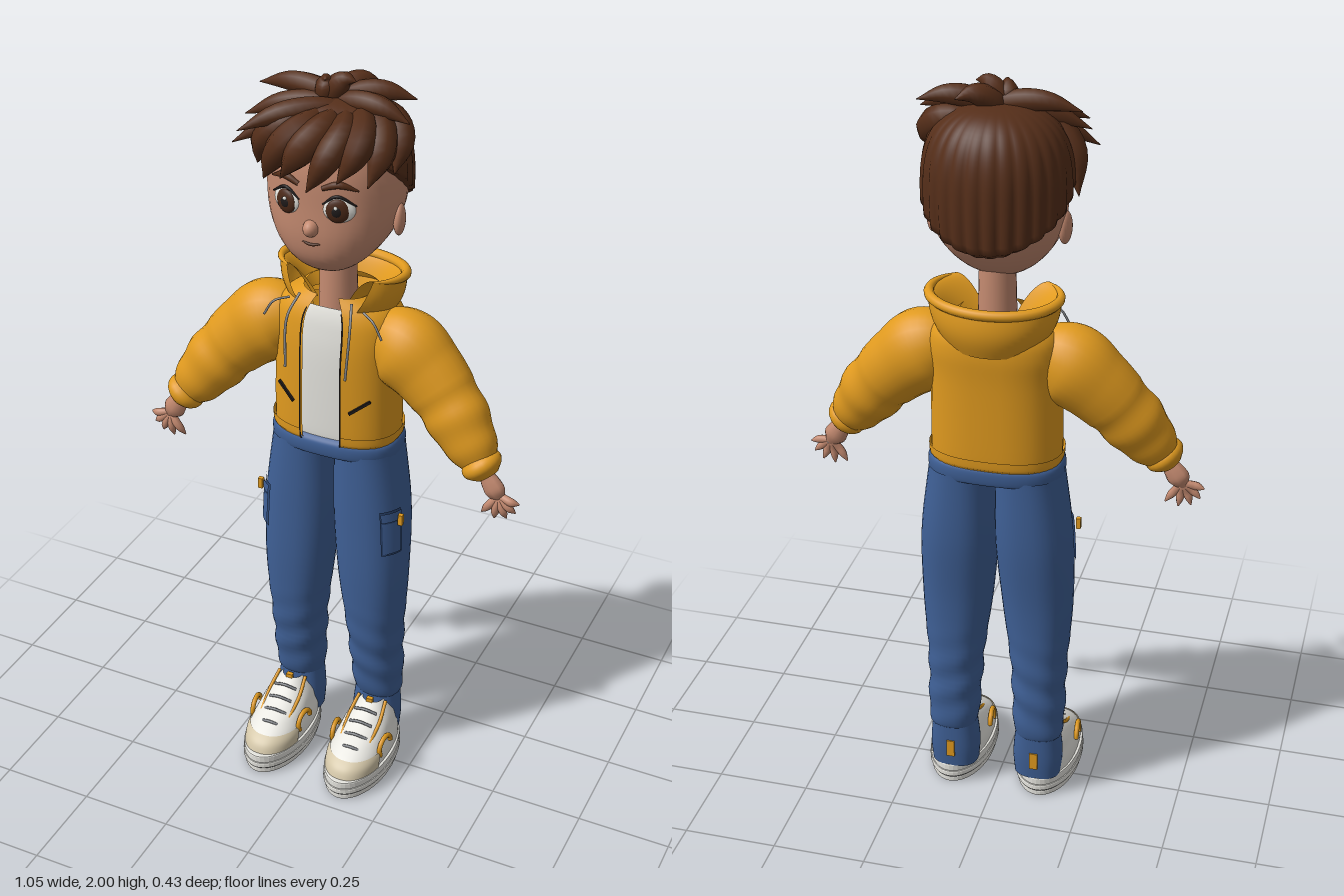
import * as THREE from 'three';
import { mergeVertices } from 'three/addons/utils/BufferGeometryUtils.js';

const paint = (name, color, side = THREE.FrontSide) => {
  const m = new THREE.MeshStandardMaterial({ color, side });
  m.name = name;
  return m;
};
const TAU = Math.PI * 2;
const spline = (pts) => new THREE.CatmullRomCurve3(pts, false, 'catmullrom');
const V = (x, y, z) => new THREE.Vector3(x, y, z);

function smooth(g) {
  const m = mergeVertices(g, 1e-5);
  m.computeVertexNormals();
  return m;
}

// Smooth surface from a rule f(u, v); u runs around, v runs upward
function surface(f, nu, nv) {
  const pos = [], idx = [];
  for (let j = 0; j <= nv; j++) for (let i = 0; i <= nu; i++) pos.push(...f(i / nu, j / nv));
  for (let j = 0; j < nv; j++) for (let i = 0; i < nu; i++) {
    const a = j * (nu + 1) + i, b = a + nu + 1;
    idx.push(a, a + 1, b, a + 1, b + 1, b);
  }
  const g = new THREE.BufferGeometry();
  g.setAttribute('position', new THREE.Float32BufferAttribute(pos, 3));
  g.setIndex(idx);
  return smooth(g);
}

// Horizontal superellipse rings [y, rx, rz, cz] joined by a spline; x(y) gives the sideways offset
function loft(rings, { p = 0.88, a0 = 0, a1 = TAU, t0 = 0, t1 = 1, nu = 36, nv = 32, grow = 0, x = () => 0, bump = () => 0 } = {}) {
  const size = spline(rings.map(([, rx, rz], i) => V(rx, rz, i)));
  const place = spline(rings.map(([y, , , cz], i) => V(i, y, cz)));
  const pw = (n) => Math.sign(n) * Math.abs(n) ** p;
  return surface((u, v) => {
    const t = t0 + (t1 - t0) * v, a = a0 + (a1 - a0) * u;
    const o = place.getPoint(t), r = size.getPoint(t), k = grow + bump(a, o.y);
    return [x(o.y) + (Math.max(r.x, 0) + k) * pw(Math.sin(a)), o.y, o.z + (Math.max(r.y, 0) + k) * pw(Math.cos(a))];
  }, nu, nv);
}

// Tube along points whose radius follows a list; ripple adds folds
function sweep(points, radii, seg = 14, sides = 8, ripple = () => 0) {
  const curve = new THREE.CatmullRomCurve3(points);
  const width = spline(radii.map((r, i) => V(r, i, 0)));
  const g = new THREE.TubeGeometry(curve, seg, 1, sides);
  const pos = g.attributes.position, v = V(0, 0, 0);
  for (let n = 0; n < pos.count; n++) {
    const t = Math.floor(n / (sides + 1)) / seg, o = curve.getPointAt(t);
    v.fromBufferAttribute(pos, n).sub(o).multiplyScalar(Math.max(width.getPoint(t).x + ripple(t), 0.0005)).add(o);
    pos.setXYZ(n, v.x, v.y, v.z);
  }
  g.deleteAttribute('uv');
  g.deleteAttribute('normal');
  return smooth(g);
}

export function createModel() {
  const root = new THREE.Group();
  root.name = 'boy';
  const skin = paint('skin', 0xc48a70), hair = paint('hair brown', 0x552e19);
  const amber = paint('jacket amber', 0xe09a1f, THREE.DoubleSide);
  const denim = paint('denim', 0x3f6096), seam = paint('dark denim', 0x2c4672, THREE.DoubleSide);
  const white = paint('white', 0xe6e5df), cream = paint('cream', 0xd3c6a8, THREE.DoubleSide);
  const dark = paint('near black', 0x1e1a1a, THREE.DoubleSide), grey = paint('grey', 0x85888c), iris = paint('iris brown', 0x4a2817);
  const add = (name, geo, mat) => {
    const m = new THREE.Mesh(geo, mat);
    m.name = name;
    root.add(m);
    return m;
  };
  const ball = (name, mat, at, rx, ry, rz, yaw = 0) => {
    const m = add(name, new THREE.SphereGeometry(1, 20, 14), mat);
    m.position.copy(at);
    m.scale.set(rx, ry, rz);
    m.rotation.y = yaw;
  };
  const box = (name, mat, w, h, d, at) => {
    const m = add(name, new THREE.BoxGeometry(w, h, d), mat);
    m.position.copy(at);
    return m;
  };

  // Head and neck
  add('head', loft([[1.507, 0, 0, -0.01], [1.52, 0.055, 0.055, -0.01], [1.56, 0.107, 0.105, -0.02], [1.62, 0.148, 0.135, -0.035],
    [1.7, 0.168, 0.15, -0.05], [1.8, 0.158, 0.142, -0.045], [1.87, 0.11, 0.105, -0.04], [1.9, 0, 0, -0.05]]), skin);
  add('neck', new THREE.CylinderGeometry(0.045, 0.05, 0.2, 24), skin).position.set(0, 1.45, -0.055);
  ball('nose', skin, V(0, 1.654, 0.096), 0.02, 0.022, 0.027);
  add('mouth', sweep([V(-0.037, 1.62, 0.093), V(0, 1.612, 0.1), V(0.037, 1.62, 0.093)], [0.001, 0.004, 0.001]), iris);

  // Hair cap, ridged at the back, with a slanting hairline
  add('hairCap', surface((u, v) => {
    const a = u * TAU, w = Math.max(0, (v - 0.04) / 0.96);
    const low = 1.74 + 0.13 * Math.cos(a), y = low + (1.945 - low) * Math.sin(w * Math.PI / 2);
    const t = Math.min(Math.abs(y - 1.74) / 0.205, 1);
    let r = y > 1.74 ? (1 - t ** 2.7) ** (1 / 2.7) : 1 - 0.12 * t * t;
    r *= 1 + 0.035 * (1 - w) * (Math.abs(Math.sin(a * 14)) - 0.4) * (1 - 0.6 * Math.cos(a));
    if (v < 0.04) r *= 0.86;
    return [0.183 * r * Math.sin(a), y, -0.05 + 0.164 * r * Math.cos(a)];
  }, 168, 30), hair);

  // Fringe locks fan from the crown and sweep towards the right temple
  for (let i = 0; i < 8; i++) {
    const tip = -1.5 + i * 0.38, low = 1.725 + 0.035 * Math.cos(tip) + 0.02 * (i % 2) + 0.012 * Math.max(0, i - 4);
    const path = [0, 1, 2, 3].map((k) => {
      const t = k / 3, a = tip + 0.75 * (1 - t), r = 0.3 + 0.76 * Math.sin(t * Math.PI / 2);
      return V(0.183 * r * Math.sin(a), 1.915 - (1.915 - low) * t ** 1.9, -0.05 + 0.173 * r * Math.cos(a));
    });
    add('fringeLock', sweep(path, [0.014, 0.036, 0.033, 0.001]), hair);
  }

  // Tufts arch out of the crown to their tips
  [V(-0.22, 1.82, 0.07), V(-0.21, 1.875, 0.02), V(-0.2, 1.935, -0.04), V(-0.185, 1.87, 0.11), V(0.19, 1.945, -0.075),
    V(0.2, 1.91, -0.01), V(0.06, 1.985, -0.02), V(0.09, 1.96, -0.1), V(-0.01, 1.985, 0)].forEach((tip) => {
    const start = V(tip.x < -0.05 ? 0.06 : -0.02, 1.91, -0.03);
    const path = [0, 1, 2, 3].map((k) => start.clone().lerp(tip, k / 3).add(V(0, 0.03 * Math.sin(k * Math.PI / 3), 0)));
    add('tuft', sweep(path, [0.016, 0.027, 0.025, 0.001]), hair);
  });

  // Shirt, open jacket with hem
  const torso = [[1.03, 0.163, 0.105, -0.06], [1.06, 0.167, 0.11, -0.06], [1.25, 0.165, 0.11, -0.062],
    [1.34, 0.168, 0.108, -0.068], [1.39, 0.15, 0.098, -0.07], [1.43, 0.09, 0.078, -0.07]];
  const gap = 0.24;
  add('shirt', loft(torso, { p: 0.8, grow: -0.012, t1: 0.85 }), white);
  add('jacket', loft(torso, { p: 0.8, a0: gap, a1: TAU - gap }), amber);
  add('jacketHem', loft(torso, { p: 0.8, a0: gap, a1: TAU - gap, t1: 0.2, grow: 0.006 }), amber);

  // Wide soft collar: its front edges splay apart towards a rolled rim
  const rimAngle = 0.78;
  const ringAt = (a, rx, rz, y) => V(rx * Math.sin(a), y + 0.012 * Math.cos(a), -0.083 + rz * Math.cos(a));
  add('collar', surface((u, v) => {
    const a0 = 0.5 + (rimAngle - 0.5) * v, a = a0 + (TAU - 2 * a0) * u, belly = 0.012 * Math.sin(v * Math.PI);
    return ringAt(a, 0.125 + 0.04 * v + belly, 0.1 + 0.012 * v + belly, 1.36 + 0.118 * v).toArray();
  }, 48, 12), amber);
  add('collarLining', surface((u, v) => {
    const a0 = rimAngle + (0.5 - rimAngle) * v, a = a0 + (TAU - 2 * a0) * u;
    return ringAt(a, 0.16 - 0.075 * v, 0.107 - 0.04 * v, 1.48 - 0.085 * v ** 1.5).toArray();
  }, 48, 12), amber);
  const rim = Array.from({ length: 17 }, (_, i) => ringAt(rimAngle + (TAU - 2 * rimAngle) * i / 16, 0.163, 0.11, 1.478));
  add('collarRim', sweep(rim, [0.002, 0.012, 0.013, 0.013, 0.013, 0.012, 0.002], 60, 10), amber);

  // Waistband
  add('waistband', loft([[0.985, 0.163, 0.093, -0.062], [0.99, 0.174, 0.108, -0.061],
    [1.026, 0.174, 0.11, -0.061], [1.045, 0.15, 0.09, -0.062]], { p: 0.78 }), denim);

  for (const s of [1, -1]) {
    const P = (x, y, z) => V(x * s, y, z);
    const span = (a, b) => (s > 0 ? { a0: a, a1: b } : { a0: -b, a1: -a });

    // Face
    ball('ear', skin, P(0.164, 1.65, -0.045), 0.015, 0.042, 0.026, 0.2 * s);
    const yaw = 0.3 * s;
    ball('eyeWhite', white, P(0.068, 1.71, 0.086), 0.039, 0.033, 0.013, yaw);
    ball('iris', iris, P(0.067, 1.709, 0.093), 0.029, 0.03, 0.01, yaw);
    ball('pupil', dark, P(0.067, 1.709, 0.099), 0.014, 0.015, 0.006, yaw);
    ball('eyeGlint', white, P(0.066, 1.72, 0.104), 0.005, 0.005, 0.003);
    add('eyelid', sweep([P(0.03, 1.722, 0.098), P(0.066, 1.746, 0.095), P(0.108, 1.722, 0.076)], [0.002, 0.004, 0.002]), dark);
    add('eyebrow', sweep([P(0.03, 1.762, 0.1), P(0.07, 1.775, 0.093), P(0.112, 1.76, 0.074)], [0.006, 0.009, 0.002]), hair);

    // Sleeve, slimmer front to back, and cuff
    add('sleeve', sweep([P(0.09, 1.325, -0.065), P(0.17, 1.305, -0.065), P(0.24, 1.255, -0.06), P(0.31, 1.185, -0.045),
      P(0.37, 1.108, -0.023), P(0.425, 1.035, -0.003)], [0.06, 0.106, 0.097, 0.086, 0.076, 0.04], 44, 24,
    (t) => (t > 0.5 ? 0.003 * Math.sin(t * 30) : 0)), amber).scale.z = 0.84;
    add('cuff', sweep([P(0.4, 1.072, -0.006), P(0.437, 1.024, 0)], [0.035, 0.052, 0.051, 0.03], 14, 20), amber);

    // Hand, flat front to back, with five fingers in a fan
    add('palm', sweep([P(0.42, 1.045, 0), P(0.472, 0.962, 0)], [0.022, 0.022, 0.028, 0.029, 0.012]), skin).scale.z = 0.65;
    for (let k = 0; k < 5; k++) {
      const a = -0.2 - 0.5 * k;
      const along = (d, z) => P(0.468 + d * Math.cos(a), 0.972 + d * Math.sin(a), z);
      add('finger', sweep([along(0.008, 0), along(0.035, 0.005), along(0.057 + 0.004 * k, 0)], [0.01, 0.011, 0.01, 0.002]), skin);
    }

    // Jacket zip edge, pocket zip and drawstrings
    add('zipEdge', loft(torso, { p: 0.8, ...span(gap - 0.01, gap + 0.014), t1: 0.85, grow: 0.008, nu: 2 }), dark);
    box('pocketZip', dark, 0.065, 0.007, 0.006, P(0.102, 1.152, 0.038)).rotation.set(0, 0.4 * s, 0.6 * s);
    add('drawstring', sweep([P(0.07, 1.43, 0.02), P(0.085, 1.38, 0.062), P(0.082, 1.25, 0.082)], [0.0035, 0.0035]), grey);
    add('drawstringLoop', sweep([P(0.1, 1.41, 0.015), P(0.135, 1.4, 0.035), P(0.16, 1.36, 0.04)], [0.003, 0.003]), grey);

    // Trouser leg with folds, side pocket and tab
    const leg = [[0.19, 0.052, 0.044, -0.075], [0.21, 0.067, 0.06, -0.073], [0.4, 0.074, 0.08, -0.058],
      [0.6, 0.093, 0.09, -0.052], [0.8, 0.1, 0.1, -0.06], [1.0, 0.087, 0.1, -0.062]];
    const x = (y) => s * (0.12 - 0.033 * y * y);
    const fold = (a, y) => 0.0035 * Math.sin(y * 65 + 2 * s * Math.sin(a)) * Math.max(0, 1 - Math.abs(y - 0.33) / 0.2);
    add('trouserLeg', loft(leg, { x, nv: 60, bump: fold }), denim);
    add('pocketOutline', loft(leg, { x, ...span(0.58, 1.24), t0: 0.71, t1: 0.845, grow: 0.004 }), seam);
    add('sidePocket', loft(leg, { x, ...span(0.63, 1.19), t0: 0.717, t1: 0.81, grow: 0.007 }), denim);
    add('pocketFlap', loft(leg, { x, ...span(0.6, 1.22), t0: 0.815, t1: 0.842, grow: 0.009 }), denim);
    box('pocketTab', amber, 0.012, 0.03, 0.012, P(0.203, 0.818, -0.005));

    // Shoe sole in bevelled layers
    const X = 0.124, shoe = { x: () => X * s };
    const layer = (name, mat, y, h, k) => {
      const oval = new THREE.Shape().absellipse(0, 0, 0.08 + k, 0.161 + k, 0, TAU);
      const b = 0.004;
      const g = new THREE.ExtrudeGeometry(oval, { depth: h - 2 * b, bevelSize: b, bevelThickness: b, bevelSegments: 2, curveSegments: 24 });
      add(name, g.rotateX(-Math.PI / 2), mat).position.set(X * s, y + b, 0.045);
    };
    layer('tread', white, 0, 0.018, 0);
    layer('soleStripe', grey, 0.014, 0.012, 0);
    layer('sole', white, 0.02, 0.018, 0.005);
    layer('midsole', white, 0.037, 0.023, 0.003);

    // Upper, toe cap and ankle
    const upper = [[0.05, 0.079, 0.155, 0.045], [0.085, 0.078, 0.143, 0.037], [0.115, 0.069, 0.112, 0.018],
      [0.145, 0.058, 0.078, -0.008], [0.185, 0.03, 0.034, -0.033]];
    add('upper', loft(upper, shoe), white);
    add('toeCap', loft(upper, { ...shoe, a0: -1.2, a1: 1.2, t1: 0.36, grow: 0.004 }), cream);
    add('ankle', loft([[0.058, 0.063, 0.052, -0.069], [0.12, 0.067, 0.055, -0.07], [0.2, 0.06, 0.052, -0.074]],
      { x: () => 0.117 * s, p: 0.8 }), denim);

    // Laces and amber trims
    for (let i = 0; i < 4; i++) {
      const y = 0.115 + i * 0.02, z = 0.124 - i * 0.032;
      add('lace', sweep([P(X - 0.033, y - 0.007, z - 0.004), P(X, y + 0.005, z + 0.004), P(X + 0.033, y - 0.007, z - 0.004)], [0.004, 0.004]), grey);
    }
    for (const k of [-1, 1]) {
      add('laceTrim', sweep([P(X + 0.04 * k, 0.11, 0.11), P(X + 0.046 * k, 0.15, 0.035), P(X + 0.04 * k, 0.185, -0.02)], [0.005, 0.005]), amber);
      const arc = add('sideArc', new THREE.TorusGeometry(0.03, 0.007, 8, 20, Math.PI * 1.2), amber);
      arc.position.copy(P(X + 0.075 * k, 0.1, 0.06));
      arc.rotation.y = Math.PI / 2 - 0.1 * k * s;
    }
    box('tongueTab', amber, 0.018, 0.035, 0.012, P(X, 0.178, -0.003));
    box('heelTab', amber, 0.022, 0.05, 0.01, P(0.117, 0.12, -0.124));
  }
  return root;
}
